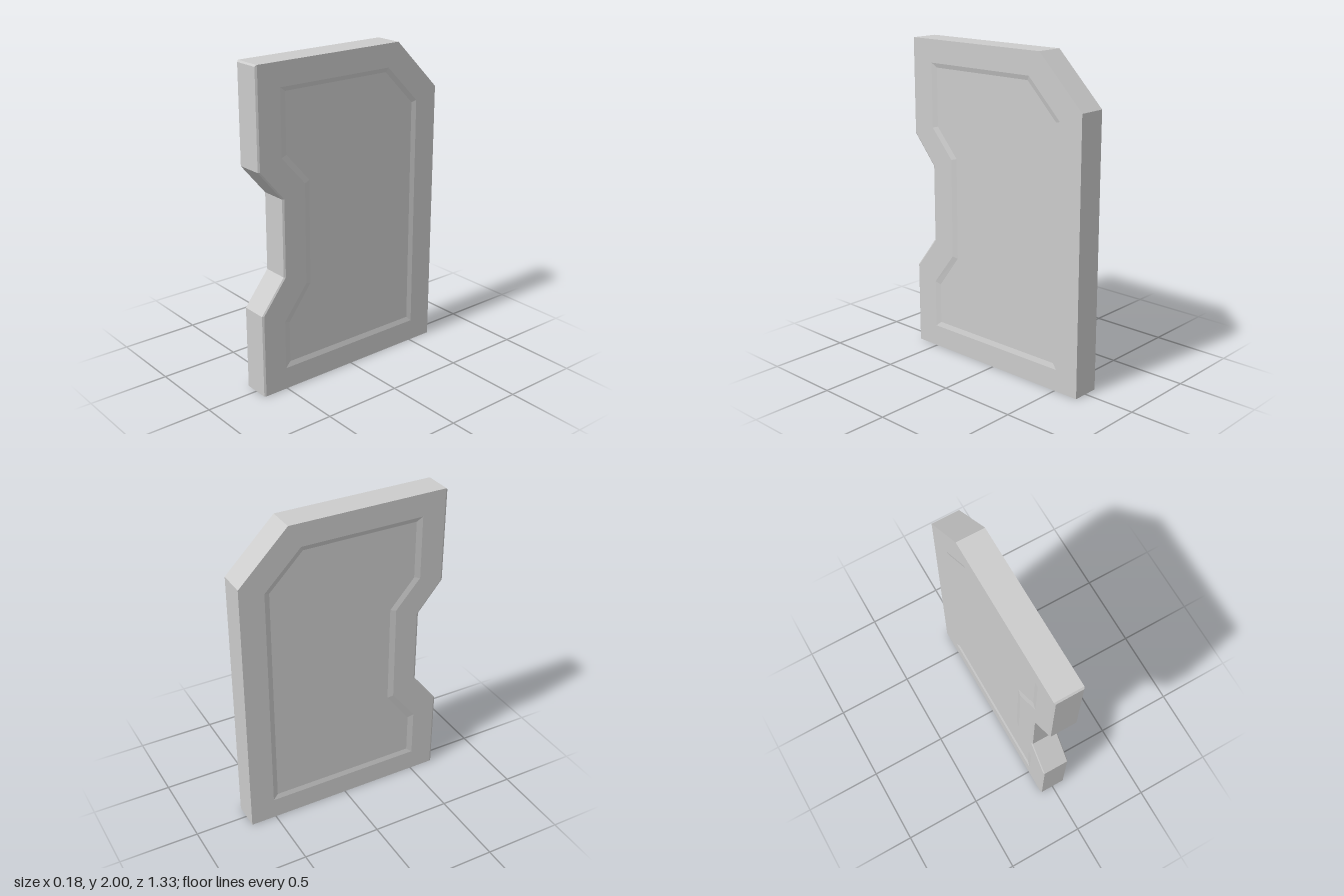
import * as THREE from 'three';

// Outlines as [z, y], running up the front edge and down the back
const EDGE = [[0.665, 0], [0.665, 0.525], [0.505, 0.73], [0.505, 1.21], [0.665, 1.4],
  [0.665, 1.99], [0.655, 2], [-0.355, 2], [-0.665, 1.69], [-0.665, 0]];
const RECESS = [[0.505, 0.138], [0.505, 0.445], [0.345, 0.65], [0.345, 1.275], [0.505, 1.455],
  [0.505, 1.857], [-0.28, 1.857], [-0.51, 1.625], [-0.51, 0.138]];
const FLOOR = [[0.467, 0.17], [0.467, 0.43], [0.308, 0.64], [0.308, 1.285], [0.467, 1.465],
  [0.467, 1.83], [-0.265, 1.83], [-0.478, 1.615], [-0.478, 0.17]];
// The face outline is pulled back a little at the front, giving a fine bevel
const FACE = EDGE.map(([z, y], i) => [i < 6 ? z - 0.012 : z, y]);

const HALF = 0.088, BEVEL = 0.082, DEPTH = 0.008;

const at = (x, outline) => outline.map(([z, y]) => new THREE.Vector3(x, y, z));

// Band of quads joining two outlines with the same number of points
function band(a, b) {
  return a.flatMap((p, i) => {
    const j = (i + 1) % a.length;
    return [p, a[j], b[j], p, b[j], b[i]];
  });
}

// Flat area facing +x, optionally with a hole
function plate(x, outline, hole = []) {
  const flat = (o) => o.map(([z, y]) => new THREE.Vector2(-z, y));
  const contour = flat(outline).reverse(), inner = flat(hole);
  if (THREE.ShapeUtils.isClockWise(contour)) contour.reverse();
  if (inner.length && !THREE.ShapeUtils.isClockWise(inner)) inner.reverse();
  const points = [...contour, ...inner];
  return THREE.ShapeUtils.triangulateShape(contour, inner.length ? [inner] : [])
    .flat().map((i) => new THREE.Vector3(x, points[i].y, -points[i].x));
}

// Mirror triangles across x = 0, keeping them facing outwards
function mirror(points) {
  const out = points.map((p) => new THREE.Vector3(-p.x, p.y, p.z));
  for (let i = 0; i < out.length; i += 3) [out[i + 1], out[i + 2]] = [out[i + 2], out[i + 1]];
  return out;
}

function part(name, points) {
  const geometry = new THREE.BufferGeometry().setFromPoints(points);
  geometry.computeVertexNormals();
  const mesh = new THREE.Mesh(geometry,
    new THREE.MeshStandardMaterial({ color: 0xcccccc, flatShading: true }));
  mesh.name = name;
  return mesh;
}

export function createModel() {
  const group = new THREE.Group();
  group.name = 'notchedPanel';

  // Rim around the thickness of the slab
  group.add(part('rim', band(at(-BEVEL, EDGE), at(BEVEL, EDGE)).reverse()));

  // Side: bevel, raised border, sloped step and recessed floor
  const side = {
    Bevel: band(at(BEVEL, EDGE), at(HALF, FACE)).reverse(),
    Border: plate(HALF, FACE, RECESS),
    RecessSlope: band(at(HALF, RECESS), at(HALF - DEPTH, FLOOR)).reverse(),
    RecessFloor: plate(HALF - DEPTH, FLOOR),
  };
  for (const [name, points] of Object.entries(side)) {
    group.add(part('left' + name, points), part('right' + name, mirror(points)));
  }
  return group;
}
